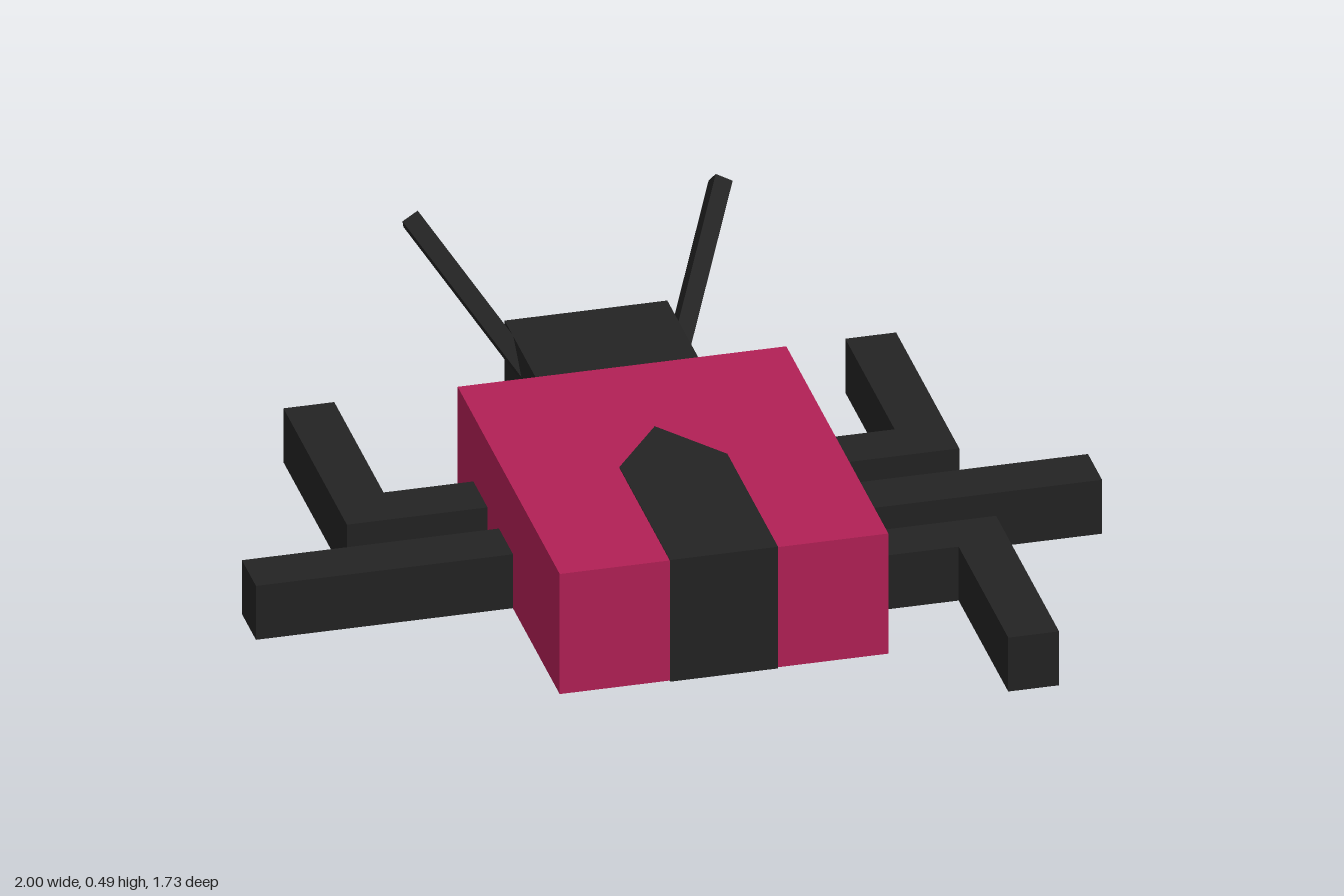
import * as THREE from 'three';

const crimson = new THREE.MeshStandardMaterial({ color: 0xb22055 });
crimson.name = 'crimson';
const black = new THREE.MeshStandardMaterial({ color: 0x232323 });
black.name = 'black';

// Box given by its minimum and maximum corners
function block(name, material, [x0, y0, z0], [x1, y1, z1]) {
  const mesh = new THREE.Mesh(new THREE.BoxGeometry(x1 - x0, y1 - y0, z1 - z0), material);
  mesh.position.set((x0 + x1) / 2, (y0 + y1) / 2, (z0 + z1) / 2);
  mesh.name = name;
  return mesh;
}

// Thin horizontal plate from an outline of [x, z] points, its lower face at y
function plate(name, outline, y) {
  const shape = new THREE.Shape(outline.map(([x, z]) => new THREE.Vector2(x, -z)));
  const geometry = new THREE.ExtrudeGeometry(shape, { depth: 0.004, bevelEnabled: false });
  geometry.rotateX(-Math.PI / 2);
  const mesh = new THREE.Mesh(geometry, black);
  mesh.position.y = y;
  mesh.name = name;
  return mesh;
}

// Leg along x on one side; elbow legs turn along z to zEnd (an L outline)
function leg(name, side, z0, z1, reach, zEnd) {
  const xIn = 0.38, xBend = reach - 0.12;
  let outline = [[xIn, z0], [reach, z0], [reach, z1], [xIn, z1]];
  if (zEnd > z1) outline = [[xIn, z0], [reach, z0], [reach, zEnd], [xBend, zEnd], [xBend, z1], [xIn, z1]];
  if (zEnd < z0) outline = [[xIn, z0], [xBend, z0], [xBend, zEnd], [reach, zEnd], [reach, z1], [xIn, z1]];
  const shape = new THREE.Shape(outline.map(([x, z]) => new THREE.Vector2(side * x, -z)));
  const geometry = new THREE.ExtrudeGeometry(shape, { depth: 0.14, bevelEnabled: false });
  geometry.rotateX(-Math.PI / 2);
  const mesh = new THREE.Mesh(geometry, black);
  mesh.position.y = 0.003;
  mesh.name = name;
  return mesh;
}

// Square rod rising outward and backward from the head
function antenna(name, side) {
  const base = new THREE.Vector3(side * 0.12, 0.145, -0.41);
  const tip = new THREE.Vector3(side * 0.366, 0.468, -0.843);
  const mesh = new THREE.Mesh(new THREE.BoxGeometry(0.043, 0.043, base.distanceTo(tip)), black);
  mesh.position.copy(base).lerp(tip, 0.5);
  mesh.lookAt(tip);
  mesh.rotateZ(side * 0.55);
  mesh.name = name;
  return mesh;
}

export function createModel() {
  const model = new THREE.Group();
  model.name = 'beetle';

  // Body and head
  model.add(block('body', crimson, [-0.393, 0.002, -0.31], [0.383, 0.314, 0.62]));
  model.add(block('head', black, [-0.197, 0.03, -0.638], [0.187, 0.288, -0.3]));

  // Stripe wrapping over the top, the front and under the belly
  const a = -0.133, b = 0.122, mid = (a + b) / 2;
  model.add(plate('topStripe', [[a, 0.622], [b, 0.622], [b, 0.16], [mid, -0.01], [a, 0.16]], 0.312));
  model.add(block('frontStripe', black, [a, 0, 0.618], [b, 0.316, 0.622]));
  model.add(plate('bellyStripe', [[a, 0.622], [b, 0.622], [mid, 0.48]], 0));

  // Legs: three on the left, two on the right
  model.add(leg('frontLeftLeg', 1, 0.293, 0.415, 0.722, 0.867));
  model.add(leg('middleLeftLeg', 1, 0.058, 0.186, 1));
  model.add(leg('backLeftLeg', 1, -0.168, -0.042, 0.722, -0.618));
  model.add(leg('middleRightLeg', -1, 0.067, 0.195, 1));
  model.add(leg('backRightLeg', -1, -0.167, -0.038, 0.725, -0.616));

  // Antennae
  model.add(antenna('leftAntenna', 1), antenna('rightAntenna', -1));
  return model;
}
